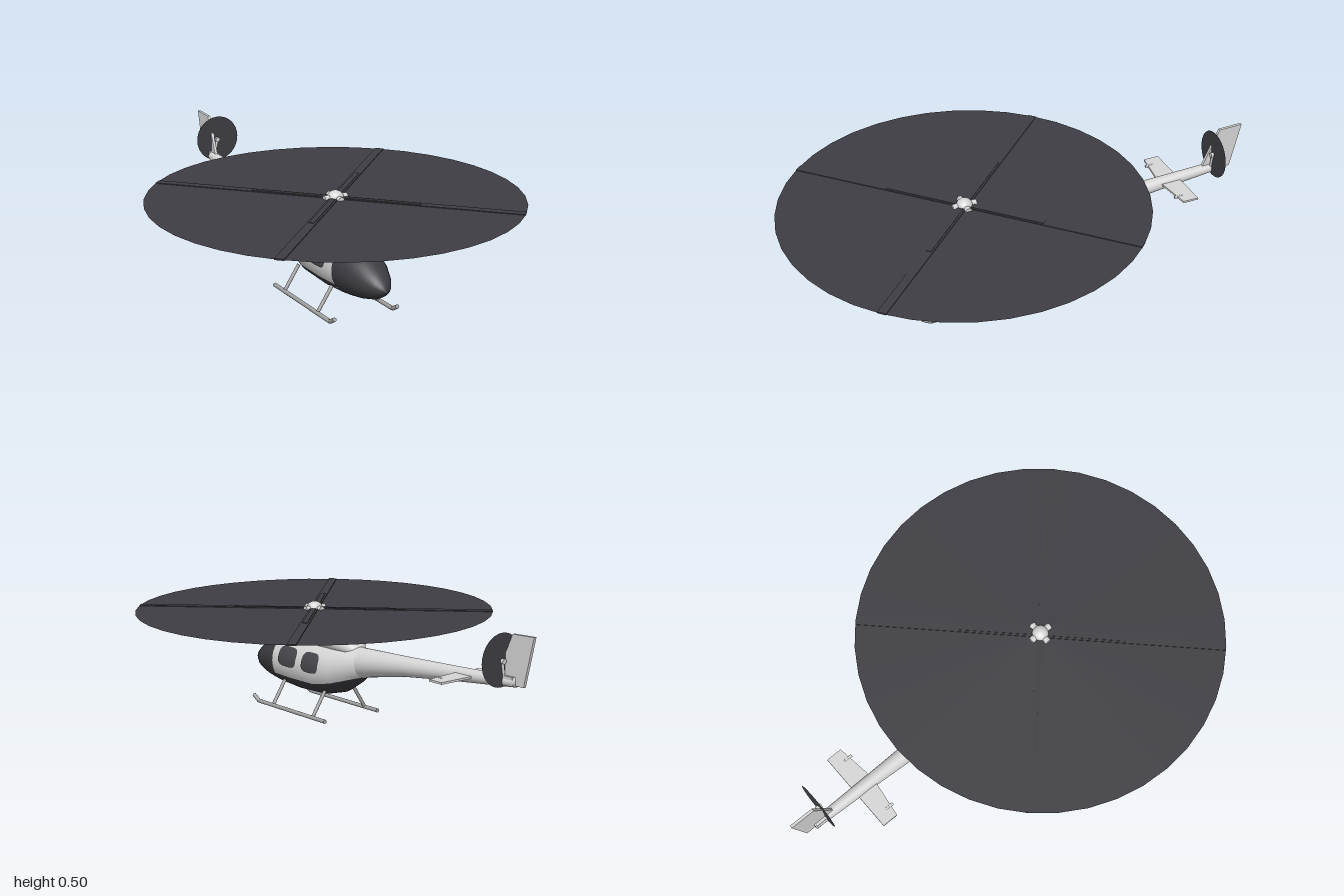
import * as THREE from 'three';
import { mergeVertices } from 'three/addons/utils/BufferGeometryUtils.js';

const mat = (name, color, side = THREE.FrontSide) => {
  const m = new THREE.MeshStandardMaterial({ color, side });
  m.name = name;
  return m;
};

export function createModel() {
  const model = new THREE.Group();
  model.name = 'helicopter';
  const light = mat('light paint', 0xd6d6d6);
  const dark = mat('dark paint', 0x3c3c42);
  const rotor = mat('rotor dark', 0x3e3d43, THREE.DoubleSide);
  const glass = mat('window dark', 0x46464c, THREE.DoubleSide);
  const metal = mat('skid metal', 0xa4a4a4);

  const add = (name, geometry, material, x = 0, y = 0, z = 0, parent = model) => {
    const mesh = new THREE.Mesh(geometry, material);
    mesh.name = name;
    mesh.position.set(x, y, z);
    parent.add(mesh);
    return mesh;
  };

  // Straight round bar between two points
  const bar = (name, a, b, r, material) => {
    const p = new THREE.Vector3(...a), q = new THREE.Vector3(...b);
    const mesh = add(name, new THREE.CylinderGeometry(r, r, p.distanceTo(q), 10), material);
    mesh.position.copy(p).add(q).multiplyScalar(0.5);
    mesh.quaternion.setFromUnitVectors(new THREE.Vector3(0, 1, 0), q.sub(p).normalize());
  };

  // Skin over elliptical sections [z, top, bottom, halfWidth, split], front to back,
  // covering the angles that range(section) returns
  const FULL = () => [-Math.PI / 2, Math.PI * 1.5];
  const skin = (sections, range = FULL, n = 32) => {
    const pos = [], idx = [];
    sections.forEach((s, i) => {
      const [z, top, bottom, w] = s;
      const [t0, t1] = range(s);
      for (let j = 0; j <= n; j++) {
        const t = t0 + (t1 - t0) * j / n;
        pos.push(w * Math.cos(t), (top + bottom) / 2 + (top - bottom) / 2 * Math.sin(t), z);
        if (i && j < n) {
          const a = (i - 1) * (n + 1) + j, c = a + n + 1;
          idx.push(a, c, a + 1, a + 1, c, c + 1);
        }
      }
    });
    let g = new THREE.BufferGeometry();
    g.setAttribute('position', new THREE.Float32BufferAttribute(pos, 3));
    g.setIndex(idx);
    g = mergeVertices(g, 1e-5);
    g.computeVertexNormals();
    return g;
  };
  const splitAngle = ([, top, bottom, , split]) =>
    Math.asin(THREE.MathUtils.clamp((2 * split - top - bottom) / (top - bottom), -1, 1));

  // Fuselage: dark nose, light cabin sides, dark belly
  const nose = [
    [0.637, 0.167, 0.163, 0.002], [0.628, 0.187, 0.149, 0.022], [0.61, 0.206, 0.134, 0.04],
    [0.575, 0.232, 0.115, 0.062], [0.52, 0.264, 0.1, 0.084], [0.46, 0.29, 0.09, 0.099],
    [0.413, 0.305, 0.084, 0.107],
  ];
  const cabin = [
    [0.413, 0.305, 0.084, 0.107, 0.137], [0.3, 0.311, 0.077, 0.113, 0.137],
    [0.15, 0.312, 0.082, 0.113, 0.137], [0.05, 0.312, 0.108, 0.101, 0.156],
    [-0.02, 0.312, 0.15, 0.08, 0.178], [-0.075, 0.312, 0.19, 0.058, 0.194],
  ];
  add('nose', skin(nose), dark);
  add('cabin', skin(cabin, s => [splitAngle(s), Math.PI - splitAngle(s)]), light);
  add('belly', skin(cabin, s => [-Math.PI - splitAngle(s), splitAngle(s)]), dark);

  // Engine cowl and tail boom
  add('engineCowl', skin([
    [0.43, 0.306, 0.29, 0.01], [0.41, 0.32, 0.28, 0.04], [0.37, 0.342, 0.27, 0.056],
    [0.32, 0.36, 0.27, 0.066], [0.26, 0.374, 0.27, 0.071], [0.15, 0.369, 0.27, 0.071],
    [0.05, 0.361, 0.27, 0.067], [-0.01, 0.345, 0.27, 0.055], [-0.035, 0.322, 0.275, 0.035],
    [-0.045, 0.306, 0.29, 0.01],
  ]), light);
  add('tailBoom', skin([
    [-0.05, 0.312, 0.185, 0.061], [-0.1, 0.314, 0.197, 0.056], [-0.32, 0.321, 0.24, 0.04],
    [-0.6, 0.333, 0.275, 0.029], [-0.915, 0.347, 0.309, 0.02], [-0.916, 0.329, 0.327, 0.001],
  ]), light);

  // Cabin windows wrapped onto the hull
  const hullX = (y, z) => {
    const i = Math.max(1, cabin.findIndex(s => s[0] <= z));
    const a = cabin[i - 1], b = cabin[i], f = (a[0] - z) / (a[0] - b[0]);
    const [top, bottom, w] = [1, 2, 3].map(k => a[k] + (b[k] - a[k]) * f);
    return w * Math.sqrt(Math.max(0, 1 - ((2 * y - top - bottom) / (top - bottom)) ** 2));
  };
  for (const side of [-1, 1]) {
    for (const [zc, hw] of [[0.304, 0.061], [0.153, 0.051]]) {
      const g = new THREE.RingGeometry(0.001, 1, 32, 4), p = g.attributes.position;
      for (let i = 0; i < p.count; i++) {
        const u = p.getX(i), v = p.getY(i), r = Math.hypot(u, v);
        const k = r / Math.pow(u ** 4 + v ** 4, 0.25);
        const y = 0.228 + 0.041 * v * k, z = zc + hw * u * k;
        p.setXYZ(i, side * (hullX(y, z) + 0.004), y, z);
      }
      g.computeVertexNormals();
      add('window', g, glass);
    }
  }

  // Main rotor: mast, hub, crossed blades and swept disc
  const main = new THREE.Group();
  main.name = 'mainRotor';
  main.position.set(0, 0.43, 0.255);
  model.add(main);
  add('mast', new THREE.CylinderGeometry(0.02, 0.022, 0.08, 16), light, 0, -0.045, 0, main);
  add('hub', new THREE.SphereGeometry(0.034, 16, 10), light, 0, 0, 0, main).scale.y = 0.9;
  for (let i = 0; i < 2; i++) {
    const grip = add('hubGrip', new THREE.CylinderGeometry(0.014, 0.014, 0.1, 10), light, 0, 0, 0, main);
    grip.rotation.set(i ? Math.PI / 2 : 0, 0, i ? 0 : Math.PI / 2);
  }
  for (let i = 0; i < 4; i++) {
    const arm = new THREE.Group();
    arm.name = 'mainBlade';
    arm.rotation.y = Math.PI / 4 + i * Math.PI / 2;
    main.add(arm);
    add('blade', new THREE.BoxGeometry(0.72, 0.006, 0.036), rotor, 0.383, 0, 0, arm);
    add('bladeRoot', new THREE.BoxGeometry(0.32, 0.01, 0.02), rotor, 0.18, 0, 0, arm);
  }
  add('mainRotorDisc', new THREE.CircleGeometry(0.745, 40), rotor, 0, 0, 0, main).rotation.x = -Math.PI / 2;

  // Tail fin, drawn in (z, y) and turned upright
  const plate = (points, depth) => {
    const shape = new THREE.Shape(points.map(p => new THREE.Vector2(...p)));
    return new THREE.ExtrudeGeometry(shape, { depth, bevelEnabled: false }).translate(0, 0, -depth / 2);
  };
  add('tailFin', plate([[-0.82, 0.335], [-0.895, 0.503], [-1, 0.507], [-0.955, 0.315], [-0.9, 0.315]], 0.012),
    light).rotation.y = -Math.PI / 2;

  // Stabilizer, drawn in (x, -z) and laid flat
  add('stabilizer', plate([[-0.177, 0.643], [-0.02, 0.622], [0.02, 0.622], [0.177, 0.643],
    [0.177, 0.71], [-0.177, 0.71]], 0.008), light, 0, 0.312, 0).rotation.x = -Math.PI / 2;
  for (const x of [-0.13, 0.13]) bar('stabilizerPin', [x, 0.312, -0.625], [x, 0.312, -0.66], 0.006, light);

  // Tail rotor
  add('tailRotorDisc', new THREE.CircleGeometry(0.101, 32), rotor, 0.025, 0.404, -0.862);
  bar('tailRotorHub', [0.022, 0.4, -0.85], [0.022, 0.4, -0.874], 0.01, light);
  bar('tailRotorShaft', [0.01, 0.33, -0.862], [0.022, 0.4, -0.862], 0.006, light);
  add('tailGearbox', new THREE.BoxGeometry(0.036, 0.034, 0.05), light, 0, 0.33, -0.885);

  // Landing skids
  for (const s of [-1, 1]) {
    const x = s * 0.141;
    bar('skid', [x, 0.012, 0.462], [x, 0.012, 0.012], 0.0085, metal);
    bar('skidTip', [x, 0.012, 0.465], [x, 0.032, 0.5], 0.0085, metal);
    for (const z of [0.365, 0.095]) bar('skidStrut', [s * 0.075, 0.115, z], [x, 0.012, z], 0.0075, metal);
  }
  return model;
}
